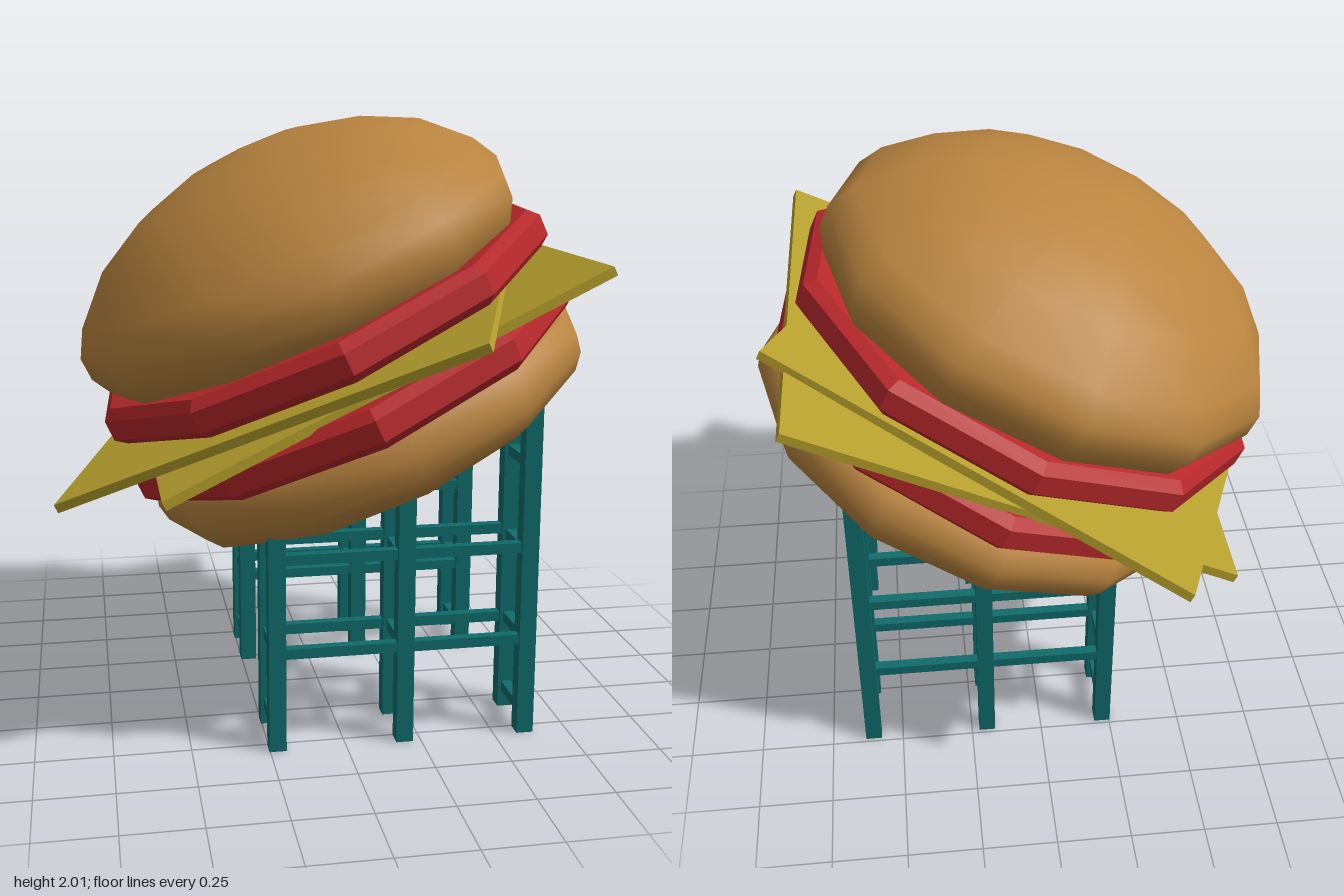
import * as THREE from 'three';
import { toCreasedNormals } from 'three/addons/utils/BufferGeometryUtils.js';

const mat = (name, color) => {
  const m = new THREE.MeshStandardMaterial({ color });
  m.name = name;
  return m;
};
const rad = THREE.MathUtils.degToRad;

export function createModel() {
  const bread = mat('bread brown', 0xb9843f);
  const meat = mat('patty red', 0xb8282b);
  const cheese = mat('cheese yellow', 0xb59f2d);
  const steel = mat('stand teal', 0x0f6b6b);

  const model = new THREE.Group();
  model.name = 'burgerOnStand';

  const add = (parent, name, geometry, material, x, y, z) => {
    const mesh = new THREE.Mesh(geometry, material);
    mesh.name = name;
    mesh.position.set(x, y, z);
    parent.add(mesh);
    return mesh;
  };
  const lathe = (profile, sides, start = 0) =>
    new THREE.LatheGeometry(profile.map(([r, y]) => new THREE.Vector2(r, y)), sides, start);

  // Tilted burger; its origin is the middle of the lower patty
  const burger = new THREE.Group();
  burger.name = 'burger';
  burger.position.set(0.09, 1.145, 0.03);
  burger.rotation.z = rad(25);
  model.add(burger);

  // Twelve-sided smooth buns
  add(burger, 'bottomBun', lathe([
    [0, -0.315], [0.5, -0.315], [0.66, -0.3], [0.745, -0.255], [0.785, -0.2],
    [0.795, -0.14], [0.775, -0.075], [0.73, -0.045], [0, -0.04],
  ], 12), bread, 0.012, 0, -0.01);
  add(burger, 'topBun', lathe([
    [0, 0.04], [0.7, 0.045], [0.745, 0.065], [0.785, 0.14], [0.787, 0.22], [0.735, 0.31],
    [0.59, 0.45], [0.41, 0.542], [0.2, 0.6], [0, 0.618],
  ], 12), bread, 0, 0.22, -0.01);

  // Ten-sided patties with a bevelled rim
  const patty = toCreasedNormals(lathe([
    [0, -0.065], [0.785, -0.065], [0.82, -0.035], [0.82, 0.035], [0.785, 0.065], [0, 0.065],
  ], 10, rad(32)), 0.4);
  add(burger, 'lowerPatty', patty, meat, 0, 0, 0);
  add(burger, 'upperPatty', patty, meat, 0, 0.22, 0);

  // Cheese slices
  const lowerSlice = add(burger, 'lowerCheese', new THREE.BoxGeometry(1.51, 0.03, 1.49), cheese, 0.04, 0.075, -0.025);
  lowerSlice.rotation.z = rad(1);
  const upperSlice = add(burger, 'upperCheese', new THREE.BoxGeometry(1.47, 0.03, 1.47), cheese, -0.083, 0.11, -0.03);
  upperSlice.rotation.y = rad(-22.5);

  // Stand: rows of posts that run up into the bottom bun
  const stand = new THREE.Group();
  stand.name = 'stand';
  model.add(stand);
  const rows = [0.53, 0.315, -0.245, -0.46];
  const frames = [
    { x: -0.225, height: 0.78, rungs: [0.075, 0.33] },
    { x: 0.195, height: 0.96, rungs: [0.33, 0.62] },
    { x: 0.605, height: 1.18, rungs: [0.075, 0.33, 0.625, 0.92] },
  ];
  for (const { x, height, rungs } of frames) {
    for (const z of rows) {
      add(stand, 'post', new THREE.BoxGeometry(0.056, height, 0.056), steel, x, height / 2, z);
    }
    // Rungs join each pair of posts front to back
    for (const y of rungs) {
      for (const z of [0.4225, -0.3525]) {
        add(stand, 'rung', new THREE.BoxGeometry(0.034, 0.034, 0.215), steel, x, y, z);
      }
    }
  }
  // Long rails across each row
  for (const z of rows) {
    for (const y of [0.327, 0.642]) {
      add(stand, 'rail', new THREE.BoxGeometry(0.83, 0.034, 0.034), steel, 0.19, y, z);
    }
  }
  return model;
}
